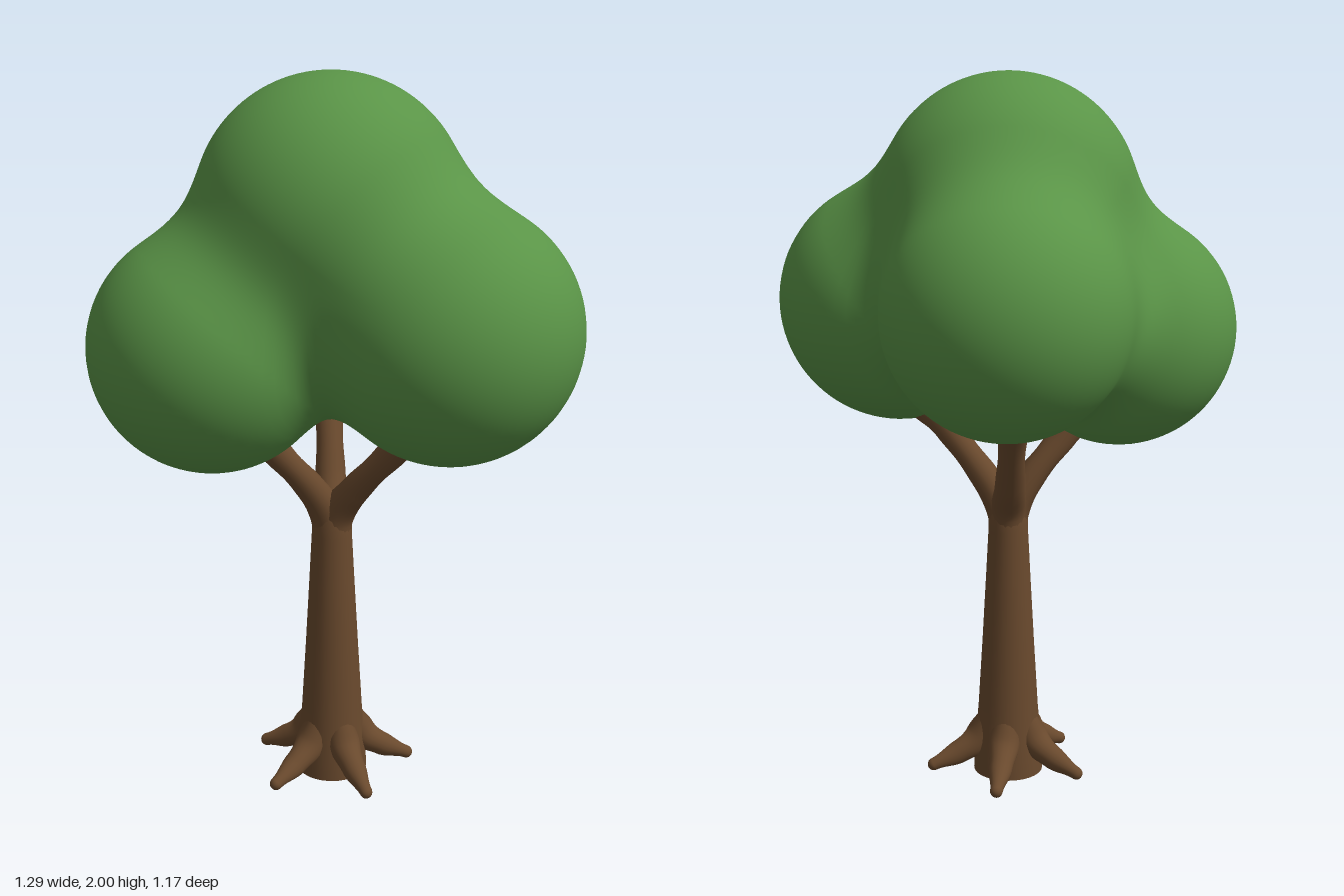
import * as THREE from 'three';

const bark = new THREE.MeshStandardMaterial({ color: 0x69492d });
bark.name = 'bark';
const leaf = new THREE.MeshStandardMaterial({ color: 0x5a9447 });
leaf.name = 'leaf green';

const AXIS_X = -0.01, AXIS_Z = 0.055;

// Crown lobes: centre x, y, z and radius
const LOBES = [
  [-0.01, 1.64, 0.09, 0.36],
  [-0.32, 1.29, 0.16, 0.33],
  [0.30, 1.36, 0.24, 0.345],
  [-0.01, 1.39, -0.26, 0.33],
];

// Distance to the lobes, merged with soft valleys
function crownDistance(p) {
  const k = 0.15;
  let d = Infinity;
  for (const [x, y, z, r] of LOBES) {
    const e = Math.hypot(p.x - x, p.y - y, p.z - z) - r;
    if (d === Infinity) { d = e; continue; }
    const h = Math.max(k - Math.abs(d - e), 0) / k;
    d = Math.min(d, e) - h * h * k / 4;
  }
  return d;
}

// Shrink a sphere onto the merged lobes, with normals from the distance slope
function crownGeometry() {
  const geo = new THREE.SphereGeometry(1, 120, 90);
  const pos = geo.attributes.position, nor = geo.attributes.normal;
  const centre = new THREE.Vector3(0, 1.43, 0.08);
  const dir = new THREE.Vector3(), p = new THREE.Vector3(), q = new THREE.Vector3(), n = new THREE.Vector3();
  for (let i = 0; i < pos.count; i++) {
    dir.fromBufferAttribute(pos, i).normalize();
    let t = 1.1;
    for (let s = 0; s < 90; s++) {
      p.copy(centre).addScaledVector(dir, t);
      const d = crownDistance(p);
      if (d < 0.0003) break;
      t -= d * 0.9;
    }
    pos.setXYZ(i, p.x, p.y, p.z);
    const slope = ['x', 'y', 'z'].map((a) => {
      q.copy(p); q[a] += 0.002;
      const up = crownDistance(q);
      q[a] -= 0.004;
      return up - crownDistance(q);
    });
    n.fromArray(slope).normalize();
    nor.setXYZ(i, n.x, n.y, n.z);
  }
  return geo;
}

// Tube along a curve whose radius follows a list of evenly spaced values
function taperedTube(points, radii) {
  const curve = new THREE.CatmullRomCurve3(points.map((a) => new THREE.Vector3(...a)));
  const segs = 20, sides = 18;
  const geo = new THREE.TubeGeometry(curve, segs, 1, sides);
  const pos = geo.attributes.position, v = new THREE.Vector3();
  for (let i = 0; i <= segs; i++) {
    const c = curve.getPointAt(i / segs);
    const f = (i / segs) * (radii.length - 1);
    const a = Math.min(Math.floor(f), radii.length - 2);
    const r = THREE.MathUtils.lerp(radii[a], radii[a + 1], THREE.MathUtils.smoothstep(f - a, 0, 1));
    for (let j = 0; j <= sides; j++) {
      const id = i * (sides + 1) + j;
      v.fromBufferAttribute(pos, id).sub(c).multiplyScalar(r).add(c);
      pos.setXYZ(id, v.x, v.y, v.z);
    }
  }
  return geo;
}

export function createModel() {
  const tree = new THREE.Group();
  tree.name = 'tree';
  const add = (name, geo, mat, parent = tree) => {
    const mesh = new THREE.Mesh(geo, mat);
    mesh.name = name;
    parent.add(mesh);
    return mesh;
  };

  add('crown', crownGeometry(), leaf);

  // Trunk, slightly flared at the foot, with a flat underside
  const profile = [[0.1, 0], [0.098, 0.05], [0.093, 0.12], [0.086, 0.2], [0.074, 0.4],
    [0.064, 0.58], [0.056, 0.73], [0.055, 0.78], [0.045, 0.83], [0, 0.855]];
  const trunk = add('trunk', new THREE.LatheGeometry(profile.map((a) => new THREE.Vector2(...a)), 28), bark);
  trunk.position.set(AXIS_X, 0, AXIS_Z);
  const foot = add('trunkUnderside', new THREE.CircleGeometry(0.1, 28).rotateX(Math.PI / 2), bark);
  foot.position.set(AXIS_X, 0, AXIS_Z);

  // Three branches, flaring where they enter the crown
  const branches = { rightBranch: [-0.22, 1.07, 0.12], leftBranch: [0.22, 1.08, 0.17], backBranch: [-0.03, 1.13, -0.18] };
  for (const [name, [x, y, z]] of Object.entries(branches)) {
    const at = (f, h) => [AXIS_X + (x - AXIS_X) * f, h, AXIS_Z + (z - AXIS_Z) * f];
    add(name, taperedTube(
      [at(0, 0.7), at(0.06, 0.79), at(0.28, 0.87), at(0.7, y - 0.09), at(1, y)],
      [0.05, 0.05, 0.042, 0.037, 0.042, 0.065]), bark);
  }

  // Five roots spread evenly around the foot
  const roots = new THREE.Group();
  roots.name = 'roots';
  roots.position.set(AXIS_X, 0, AXIS_Z);
  tree.add(roots);
  for (let i = 0; i < 5; i++) {
    const root = new THREE.Group();
    root.name = 'root';
    root.rotation.y = THREE.MathUtils.degToRad(10 - i * 72);
    add('rootLimb', taperedTube([[0.04, 0.19, 0], [0.085, 0.1, 0], [0.14, 0.06, 0], [0.22, 0.023, 0]],
      [0.03, 0.046, 0.034, 0.018]), bark, root);
    add('rootTip', new THREE.SphereGeometry(0.018, 14, 10), bark, root).position.set(0.22, 0.023, 0);
    roots.add(root);
  }

  return tree;
}
